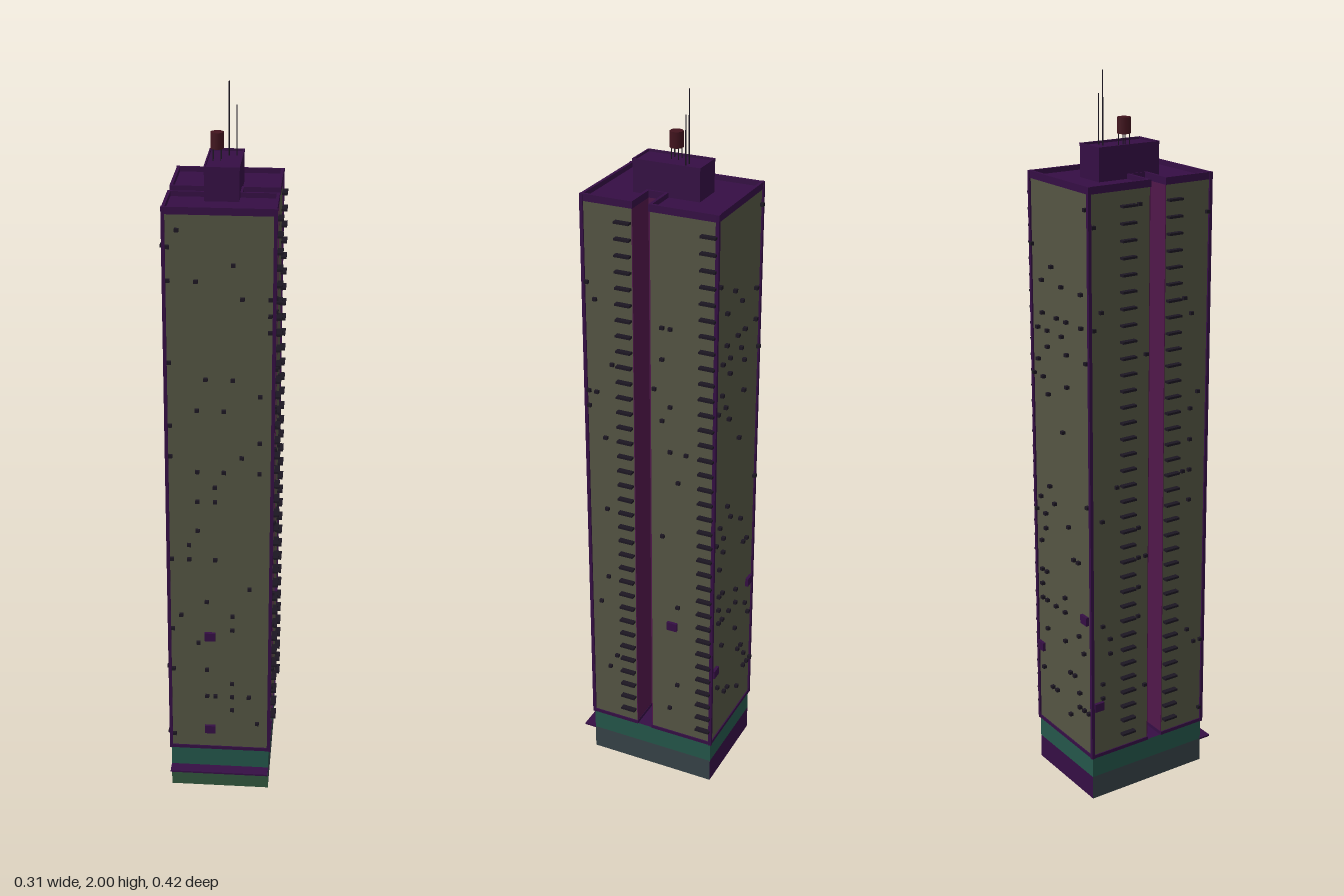
import * as THREE from 'three';
import { mergeGeometries } from 'three/addons/utils/BufferGeometryUtils.js';

const mat = (color, side = THREE.FrontSide) => new THREE.MeshStandardMaterial({ color, side });

// Main dimensions
const HX = 0.14, ZF = 0.175, ZB = -0.2;      // half width, front and back walls
const RX = 0.046, RF = 0.035, RB = -0.016;   // side recess: inner wall, front and back edges
const Y1 = 0.07, Y2 = 0.13, ROOF = 1.728;
const FLOORS = 35, FLOOR0 = 0.18, PITCH = 0.0442;

function seeded(seed) {
  let s = seed;
  return () => ((s = (s * 16807) % 2147483647) / 2147483647);
}

// H-shaped floor plan, grown outwards by o
function plan(o, Type = THREE.Shape) {
  const x = HX + o, r = RX + o, f = ZF + o, b = ZB - o, rf = RF - o, rb = RB + o;
  const pts = [[-x, f], [x, f], [x, rf], [r, rf], [r, rb], [x, rb], [x, b],
    [-x, b], [-x, rb], [-r, rb], [-r, rf], [-x, rf]];
  return new Type(pts.map(([px, pz]) => new THREE.Vector2(px, -pz)));
}

function extrudeUp(shape, y0, y1) {
  const g = new THREE.ExtrudeGeometry(shape, { depth: y1 - y0, bevelEnabled: false });
  return g.rotateX(-Math.PI / 2).translate(0, y0, 0);
}

// Box given by its limits
function box(x0, x1, y0, y1, z0, z1) {
  return new THREE.BoxGeometry(x1 - x0, y1 - y0, z1 - z0)
    .translate((x0 + x1) / 2, (y0 + y1) / 2, (z0 + z1) / 2);
}
const block = (x, y, z, w, h, d) => new THREE.BoxGeometry(w, h, d).translate(x, y, z);

export function createModel() {
  const group = new THREE.Group();
  const add = (name, geometry, material) => {
    const m = new THREE.Mesh(Array.isArray(geometry) ? mergeGeometries(geometry) : geometry, material);
    m.name = name;
    group.add(m);
    return m;
  };
  const olive = mat(0x545543), purple = mat(0x350e44), pink = mat(0x50174a);
  const teal = mat(0x24564a), dark = mat(0x1c1622), maroon = mat(0x42141e);

  // Ground storey: open-bottomed walls, each side its own colour
  const wall = (name, w, x, z, turn, color) => {
    const g = new THREE.PlaneGeometry(w, Y1).rotateY(turn).translate(x, Y1 / 2, z);
    add(name, g, mat(color, THREE.DoubleSide));
  };
  const depth = ZF - ZB, zMid = (ZF + ZB) / 2;
  wall('groundWallFront', HX * 2, 0, ZF, 0, 0x30553c);
  wall('groundWallBack', HX * 2, 0, ZB, Math.PI, 0x350e44);
  wall('groundWallLeft', depth, HX, zMid, Math.PI / 2, 0x364247);
  wall('groundWallRight', depth, -HX, zMid, -Math.PI / 2, 0x364247);

  // Upper podium and entrance canopy
  add('podium', box(-HX, HX, Y1, Y2, ZB, ZF), [teal, teal, purple, purple, teal, teal]);
  add('canopy', box(-HX, HX, 0.066, 0.071, ZF, 0.21), purple);

  // Tower shaft with a purple roof
  add('tower', extrudeUp(plan(0), Y2, ROOF), [purple, olive]);

  // Lining of the two deep side recesses
  const lining = [];
  for (const s of [-1, 1]) {
    const a = Math.min(s * RX, s * HX), b = Math.max(s * RX, s * HX);
    lining.push(block(s * RX, (Y2 + ROOF) / 2, (RF + RB) / 2, 0.004, ROOF - Y2, RF - RB));
    lining.push(box(a, b, Y2, ROOF, RF - 0.002, RF), box(a, b, Y2, ROOF, RB, RB + 0.002));
  }
  add('recessLining', lining, pink);

  // Trim bands around the foot and the parapet
  const band = plan(0.003);
  band.holes.push(plan(-0.005, THREE.Path));
  add('footTrim', extrudeUp(band, Y2, 0.14), purple);
  add('parapet', extrudeUp(band, ROOF - 0.006, 1.741), purple);

  // Corner posts
  const posts = [];
  for (const x of [-HX, HX]) for (const z of [ZB, ZF]) {
    posts.push(block(x, (Y2 + 1.741) / 2, z, 0.009, 1.741 - Y2, 0.009));
  }
  add('cornerPosts', posts, purple);

  // Air conditioners scattered over the window grid
  const rand = seeded(4711), units = [];
  const frontColumns = Array.from({ length: 12 }, (_, i) => (i - 5.5) * 0.0236);
  const sideColumns = [-0.19, -0.167, -0.143, -0.12, -0.097, -0.073, -0.05, -0.027,
    0.095, 0.118, 0.142, 0.165];
  for (let i = 0; i < FLOORS; i++) {
    const y = FLOOR0 + i * PITCH;
    for (const x of frontColumns) {
      if (rand() < 0.12) units.push(block(x, y, ZF + 0.004, 0.011, 0.009, 0.009));
      if (rand() < 0.12) units.push(block(x, y, ZB - 0.005, 0.011, 0.009, 0.01));
    }
    for (const z of sideColumns) {
      if (z > -0.15 && rand() < 0.1) units.push(block(HX + 0.004, y, z, 0.009, 0.009, 0.011));
      if ((z < -0.11 || z > -0.06) && rand() < 0.1) {
        units.push(block(-HX - 0.004, y, z, 0.009, 0.009, 0.011));
      }
    }
  }
  add('airConditioners', units, dark);

  // Balcony ledges on every floor of both sides
  const ledges = [];
  for (let i = 0; i < FLOORS; i++) {
    const y = FLOOR0 + i * PITCH;
    for (const [s, z0, z1] of [[1, 0.037, 0.08], [1, -0.2, -0.157], [-1, 0.037, 0.08], [-1, -0.107, -0.063]]) {
      ledges.push(block(s * (HX + 0.0075), y, (z0 + z1) / 2, 0.015, 0.006, z1 - z0));
    }
  }
  add('balconyLedges', ledges, dark);

  // Larger window boxes
  add('windowBoxes', [
    block(-0.027, 0.2, ZF + 0.004, 0.03, 0.025, 0.009),
    block(-0.027, 0.51, ZF + 0.004, 0.03, 0.025, 0.009),
    block(0.12, 0.375, ZB - 0.004, 0.03, 0.025, 0.009),
    block(-0.11, 0.55, ZB - 0.004, 0.03, 0.025, 0.009),
    block(HX + 0.004, 0.51, -0.08, 0.009, 0.025, 0.03),
    block(-HX - 0.004, 0.29, -0.18, 0.009, 0.025, 0.03),
  ], purple);

  // Roof house with a low rim
  add('roofHouse', box(-0.046, 0.043, ROOF, 1.81, -0.107, 0.079), purple);
  add('roofHouseRim', [
    box(-0.047, 0.044, 1.808, 1.816, 0.076, 0.08), box(-0.047, 0.044, 1.808, 1.816, -0.108, -0.104),
    box(-0.047, -0.043, 1.808, 1.816, -0.104, 0.076), box(0.04, 0.044, 1.808, 1.816, -0.104, 0.076),
  ], purple);

  // Water tank on thin legs
  const tx = -0.02, tz = -0.013;
  add('waterTank', new THREE.CylinderGeometry(0.018, 0.018, 0.042, 8)
    .rotateY(Math.PI / 8).translate(tx, 1.861, tz), maroon);
  const legs = [];
  for (const a of [-1, 1]) for (const b of [-1, 1]) {
    legs.push(block(tx + a * 0.01, 1.826, tz + b * 0.01, 0.002, 0.032, 0.002));
  }
  add('tankLegs', legs, dark);

  // Antennas
  add('antennas', [[0.007, 2], [0.027, 1.94]].map(([x, top]) =>
    new THREE.CylinderGeometry(0.0015, 0.002, top - 1.81, 6).translate(x, (top + 1.81) / 2, -0.06)), dark);

  return group;
}
